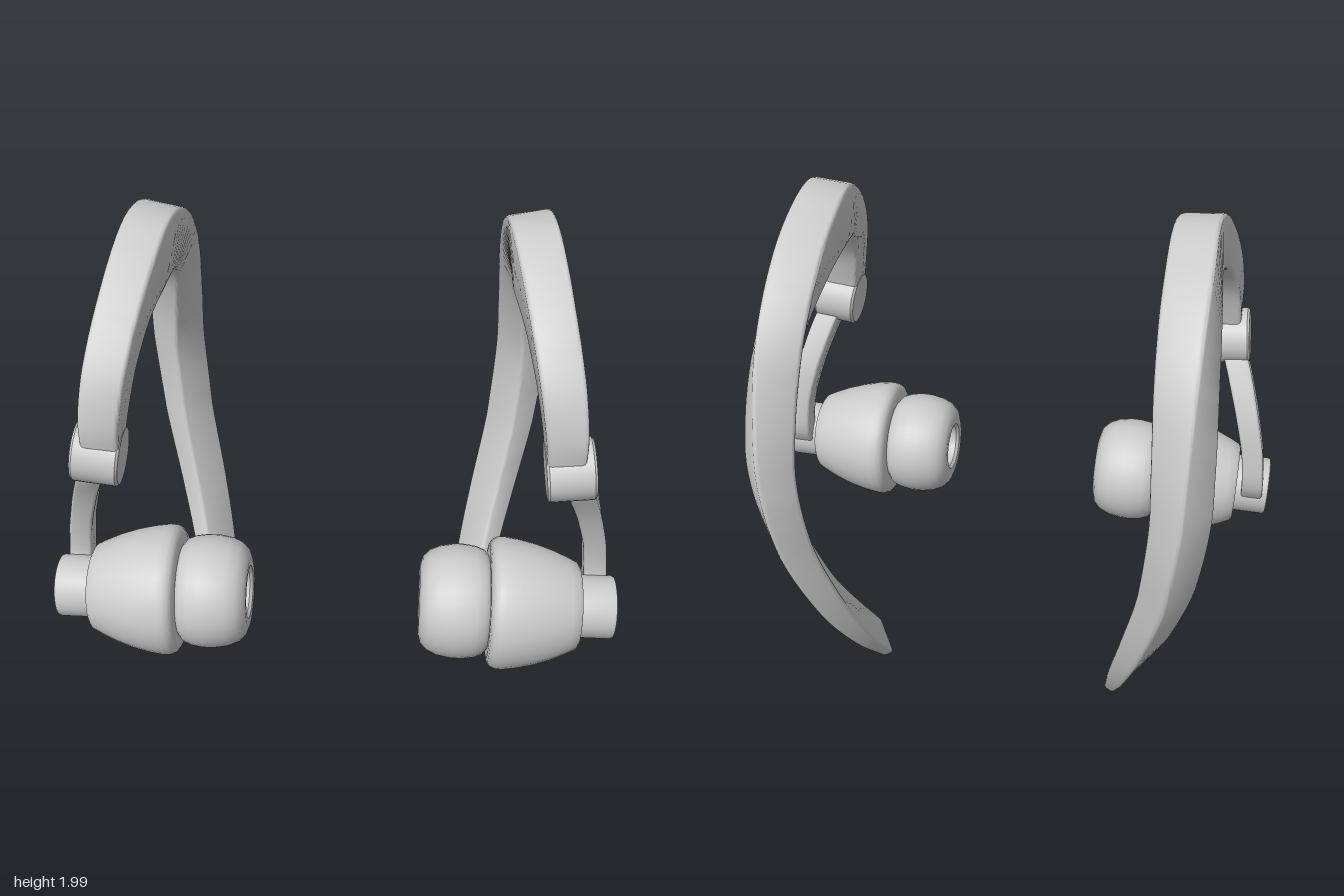
import * as THREE from 'three';
import { toCreasedNormals } from 'three/addons/utils/BufferGeometryUtils.js';

const material = new THREE.MeshStandardMaterial({ color: 0xcccccc });
const CREASE = 0.6;

// Rounded-rectangle outline, corners as small arcs
function section(w, t, r) {
  const pts = [];
  [[1, 1], [-1, 1], [-1, -1], [1, -1]].forEach(([sx, sy], q) => {
    for (let k = 0; k <= 3; k++) {
      const a = (q + k / 3) * Math.PI / 2;
      pts.push([sx * (w / 2 - r) + r * Math.cos(a), sy * (t / 2 - r) + r * Math.sin(a)]);
    }
  });
  return pts;
}

// Band swept through stations: [outer z, outer y, inner z, inner y, centre x, thickness, twist in degrees]
function sweep(stations, steps, round) {
  const spline = (f) => new THREE.CatmullRomCurve3(stations.map((s) => new THREE.Vector3(...f(s))));
  const outer = spline((s) => [0, s[1], s[0]]);
  const inner = spline((s) => [0, s[3], s[2]]);
  const extra = spline((s) => [s[4], s[5], s[6] / 100]);
  const X = new THREE.Vector3(1, 0, 0);
  const pos = [], idx = [], N = 16;
  const centres = [];
  for (let i = 0; i <= steps; i++) {
    const u = i / steps;
    const o = outer.getPoint(u), n = inner.getPoint(u), e = extra.getPoint(u);
    const twist = THREE.MathUtils.degToRad(e.z * 100);
    const cos = Math.cos(twist), sin = Math.sin(twist);
    const span = o.distanceTo(n);
    const width = (span - e.y * Math.abs(sin)) / cos;
    const r = n.clone().sub(o).normalize();
    const wDir = r.clone().multiplyScalar(cos).addScaledVector(X, sin);
    const tDir = X.clone().multiplyScalar(cos).addScaledVector(r, -sin);
    const c = o.add(n).multiplyScalar(0.5).setX(e.x);
    centres.push(c);
    for (const [a, b] of section(width, e.y, round)) {
      pos.push(...c.clone().addScaledVector(wDir, a).addScaledVector(tDir, b).toArray());
    }
  }
  for (let i = 0; i < steps; i++) {
    for (let j = 0; j < N; j++) {
      const k = (j + 1) % N, a = i * N, b = a + N;
      idx.push(a + j, b + j, a + k, b + j, b + k, a + k);
    }
  }
  // End caps
  const first = pos.length / 3, last = first + 1, end = steps * N;
  pos.push(...centres[0].toArray(), ...centres[steps].toArray());
  for (let j = 0; j < N; j++) {
    const k = (j + 1) % N;
    idx.push(first, j, k, last, end + k, end + j);
  }
  const g = new THREE.BufferGeometry();
  g.setAttribute('position', new THREE.Float32BufferAttribute(pos, 3));
  g.setIndex(idx);
  return toCreasedNormals(g, CREASE);
}

// Turned part along x, profile as [radius, x]
function turned(profile, y, z) {
  const g = new THREE.LatheGeometry(profile.map((p) => new THREE.Vector2(...p)), 36);
  g.rotateZ(-Math.PI / 2).translate(0, y, z);
  return toCreasedNormals(g, CREASE);
}

// Mirror across x = 0, keeping faces outward
function mirrored(geometry) {
  const g = geometry.clone();
  for (const name of ['position', 'normal']) {
    const at = g.getAttribute(name), src = at.clone();
    for (let i = 0; i < at.count; i++) {
      const from = i - (i % 3) + [0, 2, 1][i % 3];
      at.setXYZ(i, -src.getX(from), src.getY(from), src.getZ(from));
    }
  }
  return g;
}

export function createModel() {
  const parts = {};

  // Over-ear hook, twisting as it runs down behind the ear
  parts.earHook = sweep([
    [0.535, 1.36, 0.415, 1.36, 0.74, 0.115, 0],
    [0.545, 1.50, 0.395, 1.46, 0.73, 0.13, 0],
    [0.50, 1.66, 0.345, 1.60, 0.705, 0.14, 0],
    [0.33, 1.86, 0.235, 1.72, 0.665, 0.145, 3],
    [0.06, 2.0, 0.09, 1.77, 0.63, 0.15, 6],
    [-0.24, 1.925, -0.13, 1.715, 0.635, 0.155, 12],
    [-0.48, 1.725, -0.30, 1.60, 0.65, 0.15, 22],
    [-0.60, 1.46, -0.395, 1.40, 0.67, 0.14, 32],
    [-0.64, 1.18, -0.43, 1.18, 0.68, 0.13, 37],
    [-0.605, 0.88, -0.405, 0.92, 0.66, 0.12, 38],
    [-0.49, 0.52, -0.305, 0.58, 0.595, 0.10, 37],
    [-0.335, 0.235, -0.175, 0.325, 0.54, 0.075, 33],
    [-0.16, 0.005, -0.07, 0.14, 0.50, 0.05, 28],
  ], 72, 0.014);

  // Slim arm from the earpiece up to the joint
  parts.arm = sweep([
    [0.40, 0.70, 0.31, 0.71, 0.925, 0.08, 0],
    [0.355, 0.80, 0.268, 0.79, 0.922, 0.08, 0],
    [0.36, 0.93, 0.267, 0.94, 0.905, 0.08, 0],
    [0.40, 1.09, 0.295, 1.11, 0.862, 0.085, 0],
    [0.46, 1.22, 0.355, 1.25, 0.815, 0.09, 0],
    [0.52, 1.33, 0.42, 1.36, 0.77, 0.09, 0],
  ], 24, 0.01);

  // Pivot joint, tilted a little
  const joint = turned([[0, -0.078], [0.094, -0.078], [0.102, -0.07], [0.102, 0.07], [0.094, 0.078], [0, 0.078]], 0, 0);
  parts.joint = joint.rotateZ(0.13).translate(0.76, 1.347, 0.465);

  // Soft tip with a sound opening
  parts.earTip = turned([
    [0, 0.40], [0.075, 0.40], [0.085, 0.315], [0.095, 0.304], [0.125, 0.302], [0.155, 0.312], [0.178, 0.335],
    [0.194, 0.37], [0.203, 0.42], [0.203, 0.46], [0.197, 0.50], [0.185, 0.53], [0.165, 0.546], [0.14, 0.56],
  ], 0.712, 0.41);

  // Tapered housing
  parts.housing = turned([
    [0, 0.545], [0.19, 0.545], [0.21, 0.548], [0.226, 0.558], [0.234, 0.575], [0.235, 0.60], [0.228, 0.65],
    [0.214, 0.71], [0.194, 0.77], [0.17, 0.825], [0.155, 0.855], [0.145, 0.862], [0, 0.862],
  ], 0.712, 0.41);

  // Outer stub that carries the arm
  parts.stub = turned([
    [0, 0.84], [0.112, 0.84], [0.112, 0.975], [0.109, 0.984], [0.10, 0.988], [0, 0.988],
  ], 0.712, 0.41);

  const model = new THREE.Group();
  model.name = 'earphones';
  for (const side of ['left', 'right']) {
    const group = new THREE.Group();
    group.name = side + 'Earphone';
    for (const [name, geometry] of Object.entries(parts)) {
      const mesh = new THREE.Mesh(side === 'left' ? geometry : mirrored(geometry), material);
      mesh.name = name;
      group.add(mesh);
    }
    model.add(group);
  }
  return model;
}
